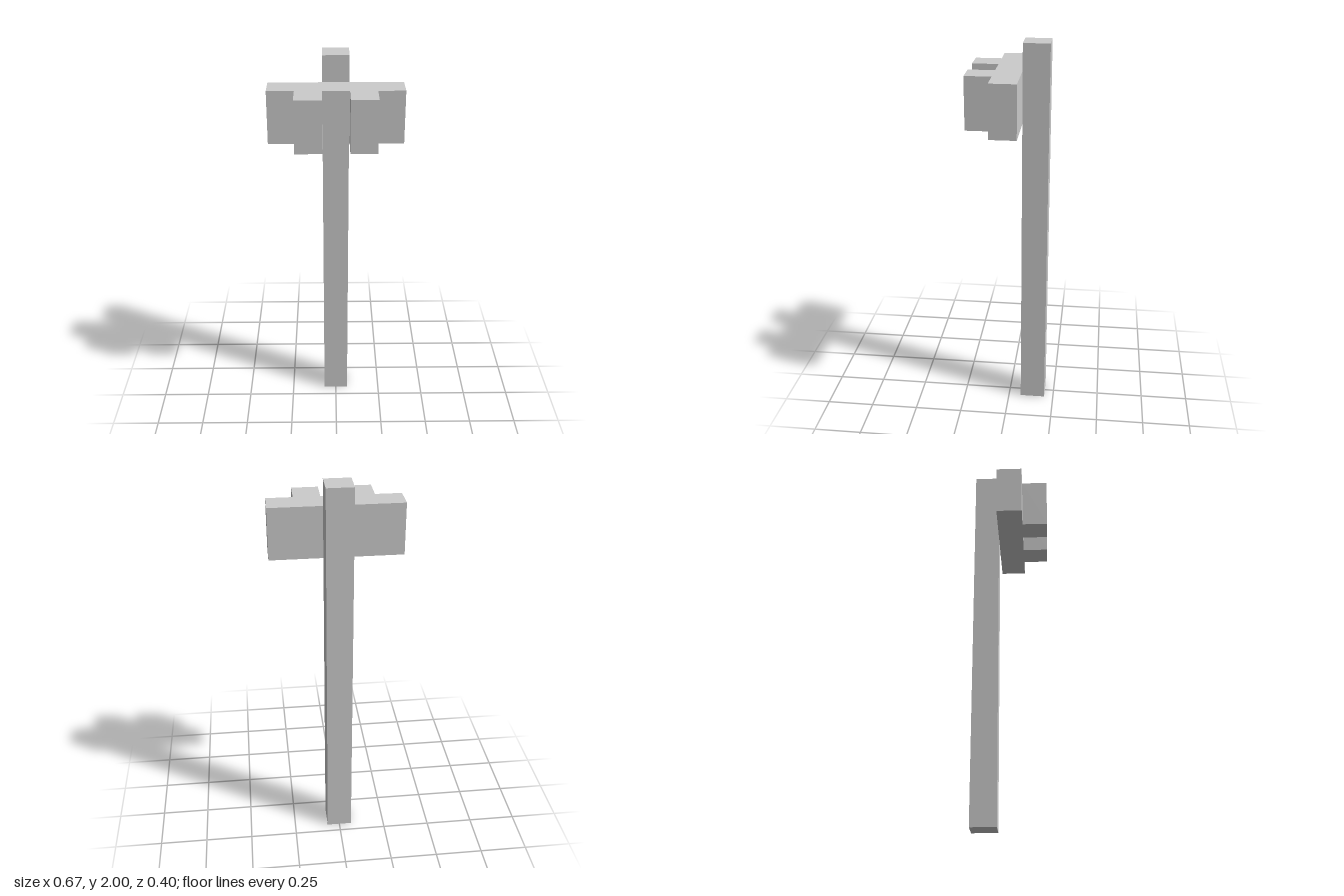
import * as THREE from 'three';

const U = 2 / 15; // width of one square section

export function createModel() {
  const group = new THREE.Group();
  const material = new THREE.MeshStandardMaterial({ color: 0xcccccc, flatShading: true });

  // Tall square post at the back
  const post = new THREE.Mesh(new THREE.BoxGeometry(U, 15 * U, U), material);
  post.name = 'post';
  post.position.set(0, 7.5 * U, -U);
  group.add(post);

  // Crossbar with two forward prongs: one plan outline (x, -z), extruded upward
  const half = [[0.5, -0.5], [0.5, -1.5], [1.5, -1.5], [1.5, -0.5], [2.5, -0.5], [2.5, 0.5]];
  const mirrored = half.map(([x, y]) => [-x, y]).reverse();
  const outline = [...half, ...mirrored].map(([x, y]) => new THREE.Vector2(x * U, y * U));
  const bracketGeometry = new THREE.ExtrudeGeometry(new THREE.Shape(outline), {
    depth: 2 * U,
    bevelEnabled: false,
  });
  bracketGeometry.rotateX(-Math.PI / 2);
  const bracket = new THREE.Mesh(bracketGeometry, material);
  bracket.name = 'prongedCrossbar';
  bracket.position.y = 12 * U;
  group.add(bracket);

  return group;
}
